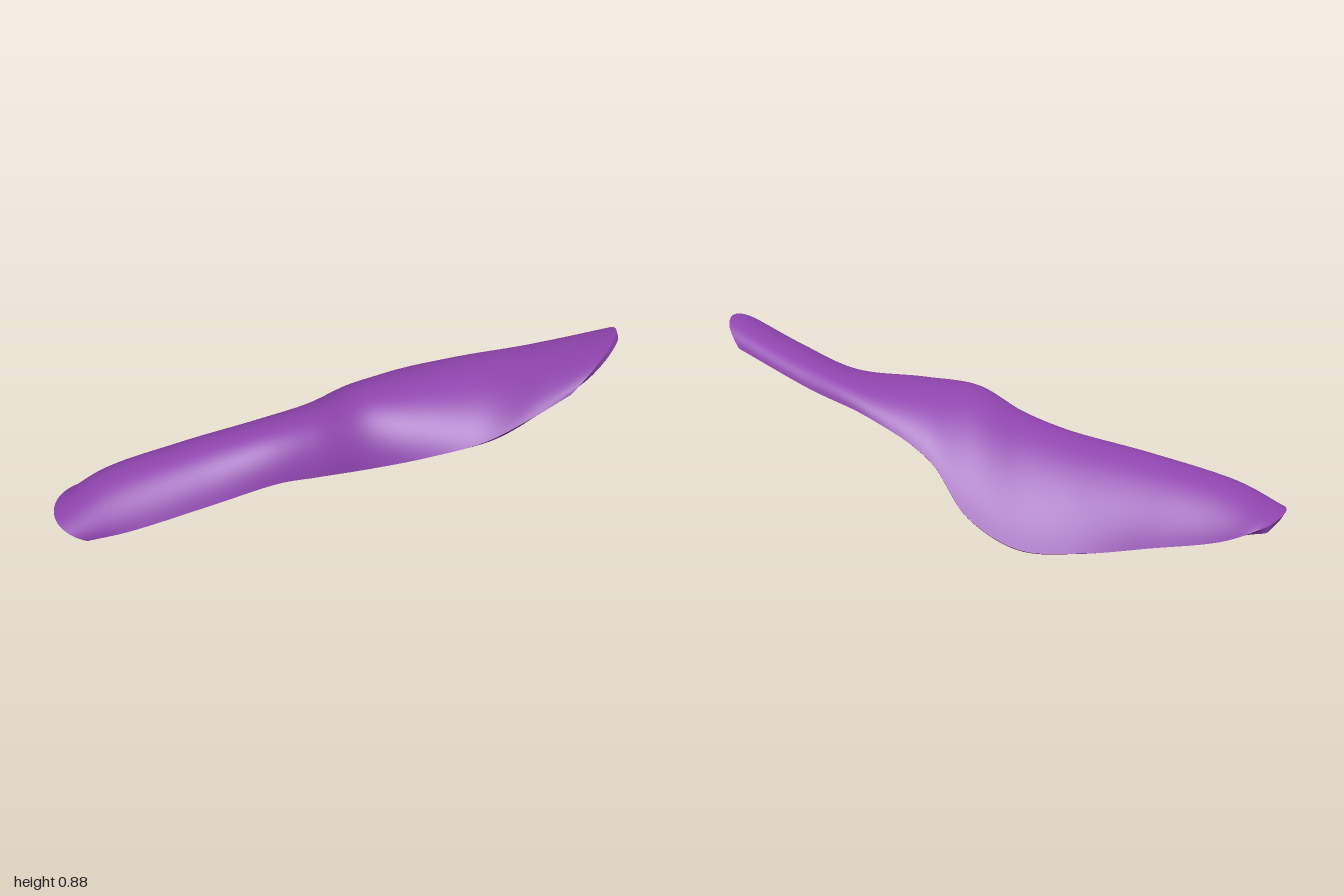
import * as THREE from 'three';

// Stations along the shell: [near edge, crest, far edge], each as x, y, z
const STATIONS = [
  [[-0.94, 0.01, -0.52], [-0.985, 0.09, -0.71], [-0.75, 0.09, -0.845]],
  [[-0.80, 0.055, -0.40], [-0.78, 0.215, -0.65], [-0.55, 0.055, -0.80]],
  [[-0.50, 0.155, -0.20], [-0.45, 0.335, -0.46], [-0.25, 0.05, -0.685]],
  [[-0.24, 0.235, -0.04], [-0.15, 0.425, -0.27], [0.02, 0.055, -0.59]],
  [[-0.13, 0.275, 0.08], [0.02, 0.50, -0.13], [0.25, 0.08, -0.47]],
  [[0.00, 0.36, 0.29], [0.15, 0.605, 0.02], [0.40, 0.20, -0.32]],
  [[0.15, 0.42, 0.45], [0.32, 0.65, 0.18], [0.48, 0.41, -0.15]],
  [[0.35, 0.49, 0.61], [0.56, 0.685, 0.37], [0.64, 0.56, 0.08]],
  [[0.50, 0.59, 0.72], [0.74, 0.78, 0.60], [0.79, 0.645, 0.31]],
  [[0.64, 0.69, 0.81], [0.90, 0.89, 0.82], [0.98, 0.78, 0.63]],
];
const LENGTH_STEPS = 90;
const ARCH_STEPS = 32;
const THICKNESS = 0.03;
const START = THREE.MathUtils.degToRad(22); // angle at which each arch begins

// Smooth surface through rows of points
function gridGeometry(rows) {
  const cols = rows[0].length;
  const index = [];
  for (let i = 0; i < rows.length - 1; i++) {
    for (let j = 0; j < cols - 1; j++) {
      const a = i * cols + j, b = a + cols;
      index.push(a, b, a + 1, b, b + 1, a + 1);
    }
  }
  const geometry = new THREE.BufferGeometry().setFromPoints(rows.flat());
  geometry.setIndex(index);
  geometry.computeVertexNormals();
  return geometry;
}

// Arched cross-section through near edge, crest and far edge
function archRow(near, crest, far) {
  const middle = near.clone().add(far).multiplyScalar(0.5);
  const half = far.clone().sub(near).multiplyScalar(0.5);
  const rise = crest.clone().sub(middle);
  const row = [];
  for (let j = 0; j <= ARCH_STEPS; j++) {
    const angle = START + (Math.PI - 2 * START) * j / ARCH_STEPS;
    const across = -Math.cos(angle) / Math.cos(START);
    const up = (Math.sin(angle) - Math.sin(START)) / (1 - Math.sin(START));
    row.push(middle.clone().addScaledVector(half, across).addScaledVector(rise, up));
  }
  return row;
}

// Perimeter of a grid, as a closed loop
function border(rows) {
  const last = rows[rows.length - 1];
  return [
    ...rows.map((r) => r[0]),
    ...last.slice(1),
    ...rows.slice(0, -1).reverse().map((r) => r[ARCH_STEPS]),
    ...rows[0].slice(0, -1).reverse(),
  ];
}

export function createModel() {
  const group = new THREE.Group();
  group.name = 'curvedShell';
  const purple = new THREE.MeshStandardMaterial({ color: 0x8e44ad });
  purple.name = 'purple';

  // Outer skin lofted along three guide curves
  const guides = [0, 1, 2].map((k) => new THREE.CatmullRomCurve3(
    STATIONS.map((s) => new THREE.Vector3(...s[k]))));
  const outer = [];
  for (let i = 0; i <= LENGTH_STEPS; i++) {
    outer.push(archRow(...guides.map((g) => g.getPoint(i / LENGTH_STEPS))));
  }
  const outerGeometry = gridGeometry(outer);

  // Inner skin offset against the normals
  const normals = outerGeometry.getAttribute('normal');
  const inner = outer.map((row, i) => row.map((p, j) => {
    const n = new THREE.Vector3().fromBufferAttribute(normals, i * (ARCH_STEPS + 1) + j);
    return p.clone().addScaledVector(n, -THICKNESS);
  }));

  const parts = {
    outerSkin: outerGeometry,
    innerSkin: gridGeometry(inner.map((row) => [...row].reverse())),
    rim: gridGeometry([border(outer), border(inner)]),
  };
  for (const [name, geometry] of Object.entries(parts)) {
    const mesh = new THREE.Mesh(geometry, purple);
    mesh.name = name;
    group.add(mesh);
  }

  // Rest the shell on the ground, centred
  const box = new THREE.Box3().setFromObject(group);
  const centre = box.getCenter(new THREE.Vector3());
  for (const mesh of group.children) mesh.geometry.translate(-centre.x, -box.min.y, -centre.z);
  return group;
}
